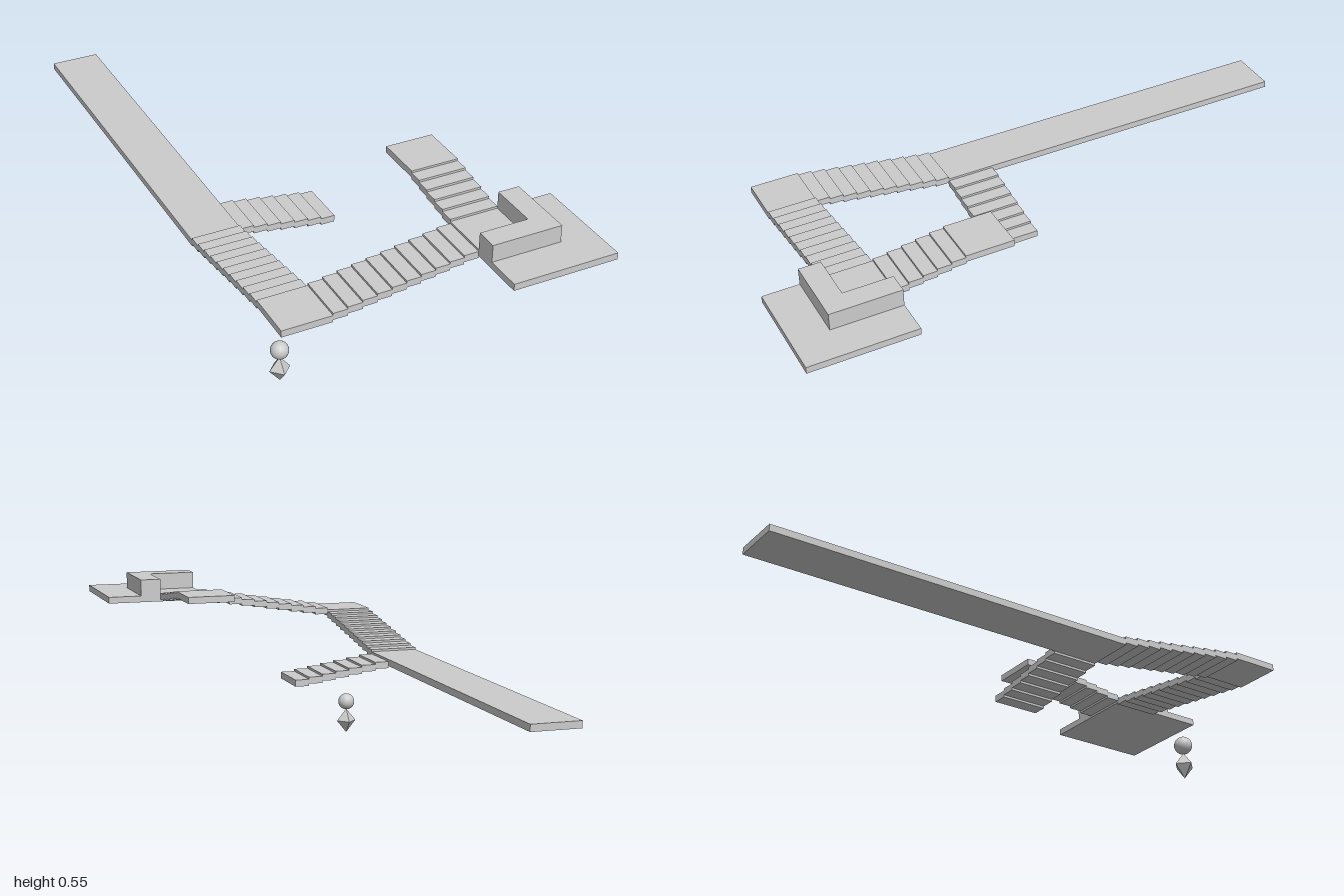
import * as THREE from 'three';

export function createModel() {
  const model = new THREE.Group();
  const grey = new THREE.MeshStandardMaterial({ color: 0xcccccc });
  const SLAB = 0.0215, TREAD = 0.045, RISE = 0.0071;

  // Box given by its x, y and z extents
  function block(name, x0, x1, y0, y1, z0, z1, parent = model) {
    const mesh = new THREE.Mesh(new THREE.BoxGeometry(x1 - x0, y1 - y0, z1 - z0), grey);
    mesh.position.set((x0 + x1) / 2, (y0 + y1) / 2, (z0 + z1) / 2);
    mesh.name = name;
    parent.add(mesh);
  }
  const slab = (name, x0, x1, top, z0, z1, parent) =>
    block(name, x0, x1, top - SLAB, top, z0, z1, parent);

  // Flight of thin treads running along one axis; a and b bound its width
  function flight(name, count, axis, start, dir, a, b, top, rise) {
    const group = new THREE.Group();
    group.name = name;
    for (let k = 1; k <= count; k++) {
      const p = start + dir * TREAD * (k - 1), q = start + dir * TREAD * k;
      const lo = Math.min(p, q), hi = Math.max(p, q), y = top + rise * k;
      if (axis === 'x') slab('tread', lo, hi, y, a, b, group);
      else slab('tread', a, b, y, lo, hi, group);
    }
    model.add(group);
  }

  // Walkway and flat landings
  slab('walkway', -0.47, -0.315, 0.339, -1, 0.211);
  slab('cornerLanding', -0.47, -0.315, 0.417, 0.661, 0.816);
  slab('upperPlatform', 0.135, 0.47, 0.495, 0.661, 1);
  slab('topLanding', 0.135, 0.29, 0.537, 0.281, 0.436);

  // Stairs
  flight('lowerSideStair', 7, 'x', -0.315, 1, 0.056, 0.211, 0.339, -RISE);
  flight('lowerStair', 10, 'z', 0.211, 1, -0.47, -0.315, 0.339, RISE);
  flight('middleStair', 10, 'x', -0.315, 1, 0.661, 0.816, 0.417, RISE);
  flight('upperStair', 5, 'z', 0.661, -1, 0.135, 0.29, 0.495, RISE);

  // L-shaped parapet on the platform
  const corner = new THREE.Shape([
    [0.135, -0.885], [0.358, -0.885], [0.358, -0.661],
    [0.29, -0.661], [0.29, -0.816], [0.135, -0.816],
  ].map(([x, y]) => new THREE.Vector2(x, y)));
  const parapet = new THREE.Mesh(
    new THREE.ExtrudeGeometry(corner, { depth: 0.055, bevelEnabled: false }), grey);
  parapet.rotation.x = -Math.PI / 2;
  parapet.position.y = 0.495;
  parapet.name = 'parapet';
  model.add(parapet);

  // Small figure: ball head over a four-sided double pyramid
  const figure = new THREE.Group();
  figure.name = 'figure';
  figure.position.set(-0.34, 0, 0.53);
  const head = new THREE.Mesh(new THREE.SphereGeometry(0.028, 32, 16), grey);
  head.position.y = 0.11;
  head.name = 'head';
  const gem = new THREE.OctahedronGeometry(1);
  gem.scale(0.034, 0.042, 0.034);
  gem.computeVertexNormals();
  const body = new THREE.Mesh(gem, grey.clone());
  body.material.flatShading = true;
  body.position.y = 0.042;
  body.name = 'body';
  figure.add(head, body);
  model.add(figure);

  return model;
}
